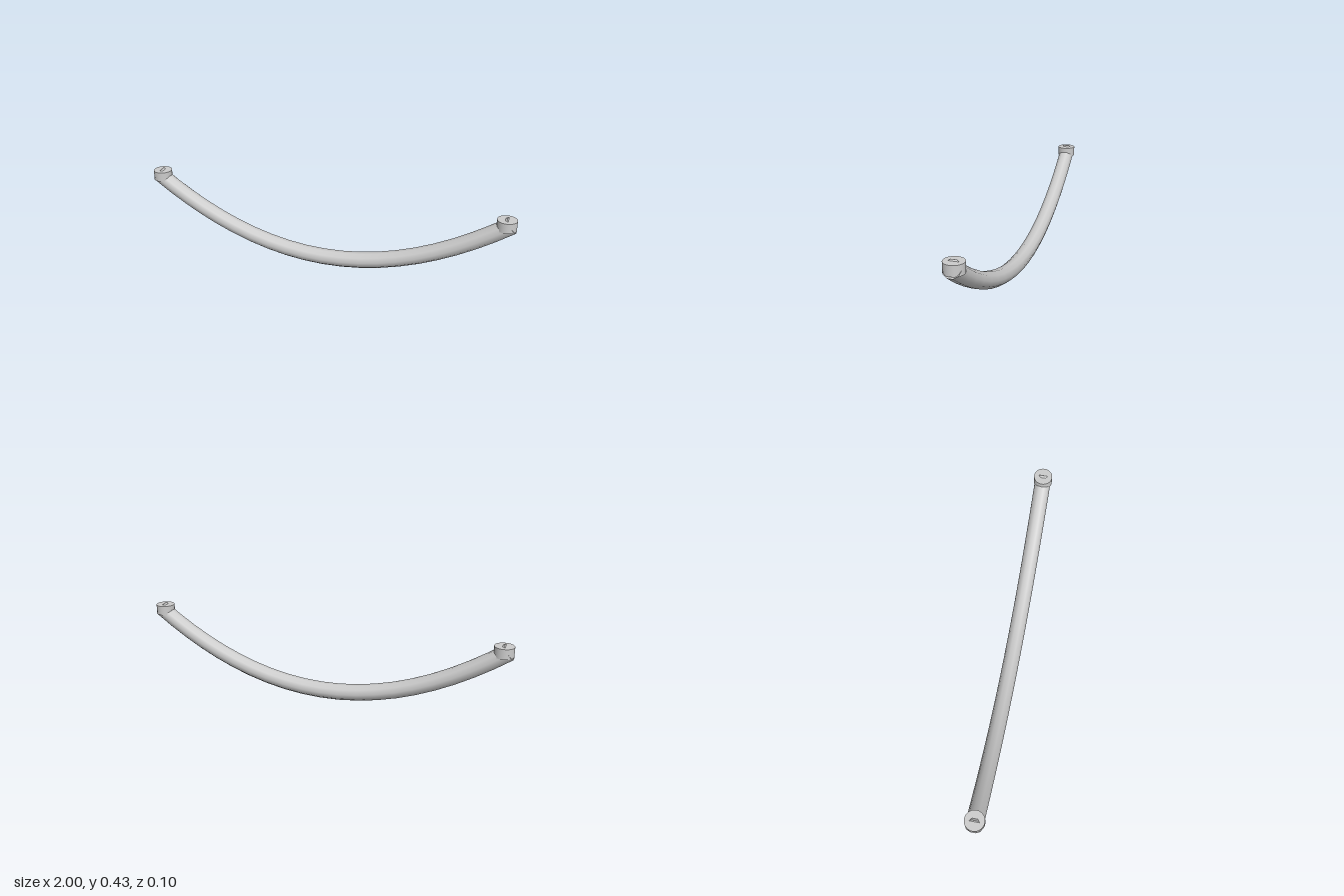
import * as THREE from 'three';

const END_X = 0.975, END_Y = 0.395, LOW_Y = 0.042;
const BAR_RADIUS = 0.044, SIDES = 10;

export function createModel() {
  const group = new THREE.Group();
  group.name = 'curvedHandle';
  const material = new THREE.MeshStandardMaterial({ color: 0xcccccc });

  const add = (name, geometry) => {
    const mesh = new THREE.Mesh(geometry, material);
    mesh.name = name;
    group.add(mesh);
    return mesh;
  };

  // Sagging bar: a tube along a parabola
  const curve = new THREE.QuadraticBezierCurve3(
    new THREE.Vector3(-END_X, END_Y, 0),
    new THREE.Vector3(0, 2 * LOW_Y - END_Y, 0),
    new THREE.Vector3(END_X, END_Y, 0)
  );
  add('bar', new THREE.TubeGeometry(curve, 20, BAR_RADIUS, SIDES, false));

  for (const side of [-1, 1]) {
    const label = side > 0 ? 'left' : 'right';

    // Flat disc closing the bar, square to its end direction
    const t = side > 0 ? 1 : 0;
    const end = curve.getPoint(t);
    const disc = add(label + 'BarEnd', new THREE.CircleGeometry(BAR_RADIUS, SIDES));
    disc.position.copy(end);
    disc.lookAt(end.clone().addScaledVector(curve.getTangent(t), side));

    // Upright round mounting foot
    const foot = add(label + 'Foot', new THREE.CylinderGeometry(0.05, 0.05, 0.052, 32));
    foot.position.set(side * 0.95, 0.396, 0);
  }
  return group;
}
